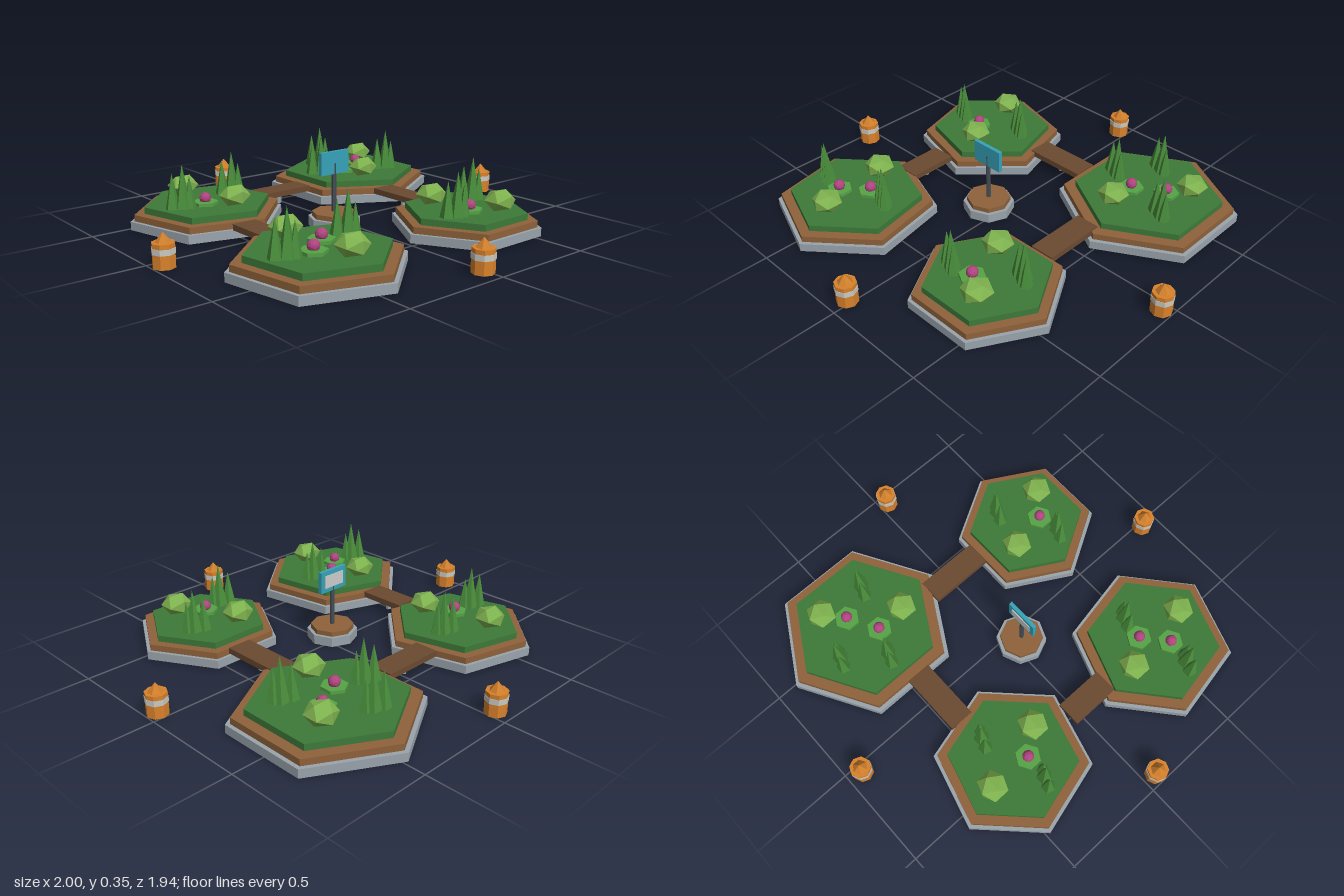
import * as THREE from 'three';

const mat = (color) => new THREE.MeshStandardMaterial({ color, flatShading: true });
const M = {
  stone: mat(0x9aa4ac), wood: mat(0x8f623a), plank: mat(0x6b4a30), grass: mat(0x3d7a39),
  tree: mat(0x4a8f3c), shrub: mat(0x7fb34f), leaf: mat(0x56a346), flower: mat(0xb0447f),
  pole: mat(0x454c55), sign: mat(0x36a3b8), panel: mat(0xcccccc),
  orange: mat(0xd9822b), roof: mat(0xd07f2c), band: mat(0xc9c9c4),
};

function add(parent, name, geometry, material, x, y, z) {
  const mesh = new THREE.Mesh(geometry, material);
  mesh.name = name;
  mesh.position.set(x, y, z);
  parent.add(mesh);
  return mesh;
}

// Upright prism standing between two heights
function prism(parent, name, material, r, sides, y0, y1, x = 0, z = 0) {
  return add(parent, name, new THREE.CylinderGeometry(r, r, y1 - y0, sides), material, x, (y0 + y1) / 2, z);
}

function box(parent, name, material, w, h, d, x, y, z) {
  return add(parent, name, new THREE.BoxGeometry(w, h, d), material, x, y, z);
}

function group(parent, name, x = 0, z = 0) {
  const g = new THREE.Group();
  g.name = name;
  g.position.set(x, 0, z);
  parent.add(g);
  return g;
}

// Three slim conifers growing together: x, z, height, radius
function treeCluster(parent, x, z) {
  const g = group(parent, 'treeCluster', x, z);
  for (const [dx, dz, h, r] of [[0.012, 0.005, 0.205, 0.038], [-0.032, -0.012, 0.165, 0.034], [0.038, 0.02, 0.15, 0.03]]) {
    add(g, 'tree', new THREE.ConeGeometry(r, h, 5), M.tree, dx, 0.1 + h / 2, dz);
  }
}

function shrub(parent, x, z) {
  add(parent, 'shrub', new THREE.IcosahedronGeometry(0.073, 0), M.shrub, x, 0.15, z).scale.y = 0.72;
}

// Leafy hexagonal pad with a round blossom
function flower(parent, x, z) {
  const g = group(parent, 'flower', x, z);
  prism(g, 'flowerLeaves', M.leaf, 0.06, 6, 0.098, 0.115);
  add(g, 'blossom', new THREE.IcosahedronGeometry(0.027, 1), M.flower, 0, 0.13, 0);
}

// Hexagonal terrace of stone, wood and grass
function island(parent, { x, z, r, turn, trees, shrubs, flowers }) {
  const g = group(parent, 'island');
  prism(g, 'stoneBase', M.stone, r, 6, 0, 0.04, x, z).rotation.y = turn;
  prism(g, 'woodTier', M.wood, r * 0.95, 6, 0.04, 0.07, x, z).rotation.y = turn;
  prism(g, 'grassTier', M.grass, r * 0.82, 6, 0.07, 0.1, x, z).rotation.y = turn;
  trees.forEach(([tx, tz]) => treeCluster(g, tx, tz));
  shrubs.forEach(([sx, sz]) => shrub(g, sx, sz));
  flowers.forEach(([fx, fz]) => flower(g, fx, fz));
}

const ISLANDS = [
  {
    x: 0.48, z: -0.48, r: 0.423, turn: 0,
    trees: [[0.41, -0.67], [0.275, -0.49], [0.625, -0.37]],
    shrubs: [[0.64, -0.6], [0.415, -0.295]],
    flowers: [[0.555, -0.52], [0.41, -0.44]],
  },
  {
    x: -0.47, z: -0.385, r: 0.365, turn: 0.26,
    trees: [[-0.64, -0.345], [-0.32, -0.435]],
    shrubs: [[-0.51, -0.545], [-0.425, -0.225]],
    flowers: [[-0.515, -0.335]],
  },
  {
    x: -0.5, z: 0.49, r: 0.382, turn: 0.18,
    trees: [[-0.69, 0.515], [-0.34, 0.455]],
    shrubs: [[-0.535, 0.315], [-0.48, 0.665]],
    flowers: [[-0.565, 0.535], [-0.45, 0.44]],
  },
  {
    x: 0.365, z: 0.467, r: 0.345, turn: Math.PI / 6,
    trees: [[0.485, 0.385], [0.215, 0.54]],
    shrubs: [[0.285, 0.33], [0.44, 0.605]],
    flowers: [[0.33, 0.525]],
  },
];

// Plank bridge with one short support: width, depth, x, z
function bridge(parent, w, d, x, z) {
  const g = group(parent, 'bridge', x, z);
  box(g, 'bridgeDeck', M.plank, w, 0.028, d, 0, 0.061, 0);
  prism(g, 'bridgePost', M.stone, 0.014, 6, 0, 0.05);
}

// Barrel-shaped marker with a pale band and a pointed roof
function marker(parent, x, z) {
  const g = group(parent, 'marker', x, z);
  prism(g, 'markerBody', M.orange, 0.049, 8, 0, 0.105);
  prism(g, 'markerBand', M.band, 0.051, 8, 0.06, 0.085);
  add(g, 'markerRoof', new THREE.ConeGeometry(0.035, 0.042, 6), M.roof, 0, 0.126, 0);
}

// Octagonal plinth carrying a sign on a pole
function signpost(parent, x, z) {
  const g = group(parent, 'signpost', x, z);
  prism(g, 'plinthStone', M.stone, 0.12, 8, 0, 0.045);
  prism(g, 'plinthWood', M.wood, 0.103, 8, 0.045, 0.068);
  prism(g, 'signPole', M.pole, 0.011, 6, 0.068, 0.295);
  box(g, 'signBoard', M.sign, 0.16, 0.105, 0.018, 0, 0.298, 0);
  box(g, 'signBackPanel', M.panel, 0.115, 0.062, 0.006, 0, 0.298, -0.01);
}

export function createModel() {
  const model = new THREE.Group();
  model.name = 'gardenIslands';
  ISLANDS.forEach((spec) => island(model, spec));
  bridge(model, 0.31, 0.118, -0.025, -0.44);
  bridge(model, 0.118, 0.24, -0.49, 0.065);
  bridge(model, 0.118, 0.31, 0.405, 0.025);
  signpost(model, -0.06, 0.045);
  for (const [x, z] of [[-0.04, -0.925], [-0.95, 0.06], [0.95, 0.043], [-0.02, 0.915]]) marker(model, x, z);
  return model;
}
